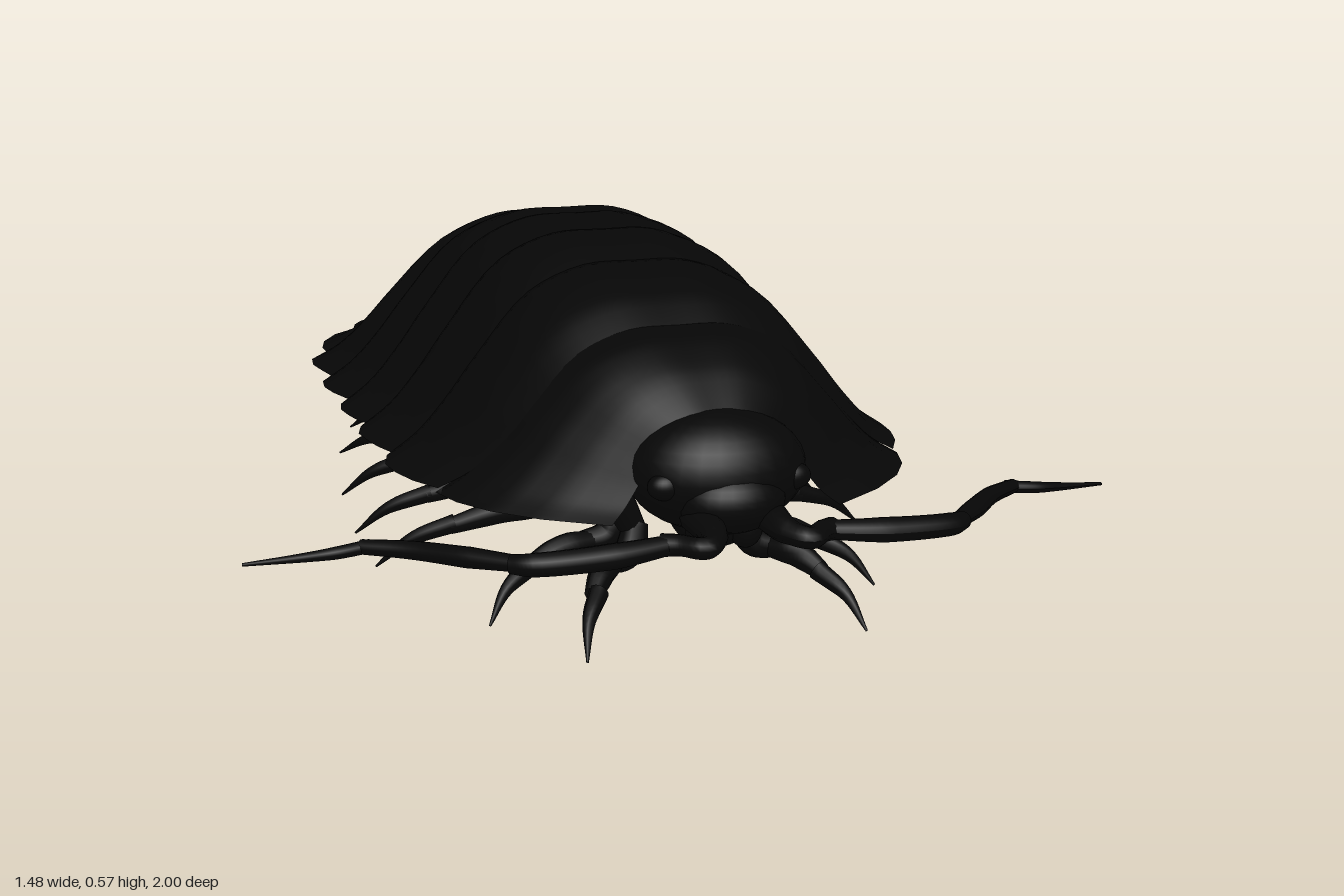
import * as THREE from 'three';

const shell = new THREE.MeshStandardMaterial({ color: 0x060606, side: THREE.DoubleSide });
shell.name = 'black shell';

// Grid of points -> smooth surface
function gridGeometry(rows, cols, fn) {
  const pos = [], idx = [];
  for (let i = 0; i <= rows; i++)
    for (let j = 0; j <= cols; j++) pos.push(...fn(i / rows, j / cols));
  for (let i = 0; i < rows; i++)
    for (let j = 0; j < cols; j++) {
      const a = i * (cols + 1) + j, b = a + cols + 1;
      idx.push(a, a + 1, b, b, a + 1, b + 1);
    }
  const g = new THREE.BufferGeometry();
  g.setAttribute('position', new THREE.Float32BufferAttribute(pos, 3));
  g.setIndex(idx);
  g.computeVertexNormals();
  return g;
}

function add(parent, name, geometry) {
  const m = new THREE.Mesh(geometry, shell);
  m.name = name;
  parent.add(m);
  return m;
}

const lerp = THREE.MathUtils.lerp;

// Interpolate a list of numbers at t in 0..1
function sample(list, t) {
  const f = t * (list.length - 1), i = Math.min(Math.floor(f), list.length - 2);
  return lerp(list[i], list[i + 1], f - i);
}

// Bell-shaped half cross-section: (fraction of width, fraction of height)
const bell = new THREE.CatmullRomCurve3(
  [[-0.2, 0.99], [0, 1], [0.21, 0.99], [0.43, 0.86], [0.64, 0.53], [0.77, 0.29], [0.88, 0.12], [1, 0]]
    .map(([x, y]) => new THREE.Vector3(x, y, 0)));
function arch(u) {
  const p = bell.getPoint(lerp(1 / 7, 1, Math.abs(u)));
  return [Math.sign(u) * Math.abs(p.x), p.y];
}

// Arched back plate with an outer and an inner skin; lead and trail sweep
// the front and rear edges of the side lobes backwards
function plate({ z, w, top, base = 0.224, lead = 0, trail = 0, bulge = 0.015, thick = 0.016 }) {
  return gridGeometry(32, 48, (s, t) => {
    const u = t * 2 - 1, outer = s <= 0.5;
    const v = outer ? s * 2 : 2 - s * 2;
    const [px, py] = arch(u);
    const inset = outer ? 0 : thick * (1 - u ** 8) * Math.min(1, v * 4);
    const swell = bulge * Math.sin(Math.PI * Math.min(1, v * 0.9 + 0.1));
    const h = sample(top, v) - base + swell;
    return [
      px * (sample(w, v) - inset),
      base + py * h - inset * (0.4 + 0.6 * py),
      lerp(z[0], z[1], v) - trail * Math.abs(px) ** 3 * v - lead * Math.abs(px) ** 4 * (1 - v),
    ];
  });
}

// Tapered sweep with an elliptical section; depth is thickness relative to width
function sweep(points, radii, depth = 1, ref = new THREE.Vector3(0, 1, 0), rows = 24) {
  const curve = new THREE.CatmullRomCurve3(points.map(p => new THREE.Vector3(...p)));
  return gridGeometry(rows, 12, (s, t) => {
    const c = curve.getPoint(s), d = curve.getTangent(s);
    const side = new THREE.Vector3().crossVectors(d, ref).normalize();
    const up = new THREE.Vector3().crossVectors(side, d).normalize();
    const r = sample(radii, s), a = t * Math.PI * 2;
    c.addScaledVector(side, Math.cos(a) * r).addScaledVector(up, Math.sin(a) * r * depth);
    return c.toArray();
  });
}

function ellipsoid(parent, name, center, size) {
  const m = add(parent, name, new THREE.SphereGeometry(1, 28, 18));
  m.position.set(...center);
  m.scale.set(...size);
  return m;
}

function group(parent, name) {
  const g = new THREE.Group();
  g.name = name;
  parent.add(g);
  return g;
}

export function createModel() {
  const model = new THREE.Group();
  model.name = 'woodlouse';
  const flip = (p, s) => [p[0] * s, p[1], p[2]];

  // Seven large back plates, front to rear
  const back = group(model, 'backPlates');
  [
    { z: [0.82, 0.605], w: [0.19, 0.285, 0.35, 0.39, 0.41], top: [0.36, 0.41, 0.448, 0.47], base: 0.215, lead: -0.035, bulge: 0.012 },
    { z: [0.64, 0.385], w: [0.405, 0.435, 0.452, 0.459, 0.445], top: [0.447, 0.49, 0.518, 0.537], base: 0.22, lead: 0.04 },
    { z: [0.43, 0.20], w: [0.435, 0.452, 0.462, 0.468, 0.455], top: [0.512, 0.543, 0.563], lead: 0.04 },
    { z: [0.25, 0.03], w: [0.43, 0.452, 0.462, 0.468, 0.46], top: [0.543, 0.561, 0.567], lead: 0.045, bulge: 0.01 },
    { z: [0.075, -0.135], w: [0.425, 0.445, 0.46, 0.468, 0.463], top: [0.551, 0.557, 0.546], lead: 0.04, trail: 0.02, bulge: 0.012 },
    { z: [-0.09, -0.30], w: [0.425, 0.44, 0.45, 0.458, 0.452], top: [0.522, 0.525, 0.501], lead: 0.06, trail: 0.05 },
    { z: [-0.25, -0.45], w: [0.395, 0.41, 0.414, 0.40, 0.365], top: [0.49, 0.474, 0.415], lead: 0.07, trail: 0.12, bulge: 0.012 },
  ].forEach((o, i) => add(back, 'backPlate' + (i + 1), plate(o)));

  // Short tail plates, most with a pointed blade on both sides
  const tail = group(model, 'tailPlates');
  [
    { z: [-0.40, -0.51], w: [0.31, 0.285], top: [0.41, 0.366], blade: [[0.24, 0.26, -0.46], [0.295, 0.235, -0.53], [0.333, 0.205, -0.608]] },
    { z: [-0.46, -0.57], w: [0.275, 0.25], top: [0.371, 0.336], blade: [[0.20, 0.255, -0.51], [0.265, 0.235, -0.60], [0.297, 0.207, -0.69]] },
    { z: [-0.53, -0.64], w: [0.235, 0.21], top: [0.336, 0.308], blade: [[0.165, 0.25, -0.58], [0.218, 0.228, -0.68], [0.25, 0.20, -0.775]] },
    { z: [-0.60, -0.70], w: [0.19, 0.16], top: [0.308, 0.281], blade: [[0.125, 0.24, -0.64], [0.165, 0.222, -0.73], [0.183, 0.20, -0.832]] },
    { z: [-0.66, -0.76], w: [0.14, 0.105], top: [0.281, 0.258] },
  ].forEach(({ blade, ...o }, i) => {
    add(tail, 'tailPlate' + (i + 1), plate({ ...o, base: 0.218, trail: 0.05, bulge: 0.006 }));
    if (blade)
      for (const s of [1, -1])
        add(tail, 'sideBlade', sweep(blade.map(p => flip(p, s)), [0.03, 0.038, 0.038, 0.03, 0.007], 0.45));
  });
  add(tail, 'tailTip', sweep([[0, 0.24, -0.68], [0, 0.232, -0.78], [0, 0.205, -0.865]], [0.11, 0.09, 0.055, 0.02], 0.3));

  // Paired leaf-shaped tail appendages, curving up at the ends
  for (const s of [1, -1])
    add(tail, 'tailAppendage', sweep(
      [[0.065, 0.21, -0.66], [0.088, 0.19, -0.78], [0.092, 0.186, -0.88], [0.116, 0.222, -0.995]].map(p => flip(p, s)),
      [0.025, 0.035, 0.04, 0.039, 0.036, 0.028, 0.01], 0.85));

  // Underside: soft belly, cross ridges and overlapping gill flaps
  const under = group(model, 'underside');
  add(under, 'belly', sweep(
    [[0, 0.28, 0.82], [0, 0.31, 0.5], [0, 0.32, 0], [0, 0.29, -0.4], [0, 0.245, -0.74]],
    [0.08, 0.24, 0.29, 0.3, 0.3, 0.27, 0.2, 0.06], 0.17));
  for (const z of [0.66, 0.5, 0.32, 0.14, -0.04, -0.21, -0.36])
    ellipsoid(under, 'bellyRidge', [0, 0.272, z], [0.24, 0.025, 0.06]);
  for (let i = 0; i < 5; i++)
    for (const s of [1, -1]) {
      const m = ellipsoid(under, 'gillFlap', [s * (0.085 - i * 0.008), 0.23 - i * 0.004, -0.46 - i * 0.06],
        [0.085 - i * 0.007, 0.012, 0.055]);
      m.rotation.x = -0.25;
    }

  // Head with eyes and mouthparts
  const head = group(model, 'head');
  ellipsoid(head, 'skull', [0, 0.277, 0.8], [0.147, 0.098, 0.112]);
  ellipsoid(head, 'snout', [0, 0.245, 0.86], [0.09, 0.055, 0.07]);
  ellipsoid(head, 'jaw', [0, 0.19, 0.78], [0.065, 0.045, 0.075]);
  for (const s of [1, -1]) {
    ellipsoid(head, 'eye', [s * 0.105, 0.272, 0.86], [0.03, 0.022, 0.022]);
    ellipsoid(head, 'mandible', [s * 0.035, 0.19, 0.84], [0.028, 0.035, 0.03]);
  }

  // Elbowed antennae
  const feelers = group(model, 'antennae');
  const feeler = [
    [[0.055, 0.222, 0.87], [0.06, 0.214, 0.95], [0.085, 0.21, 0.982], [0.115, 0.209, 0.955], [0.14, 0.207, 0.94]],
    [[0.115, 0.209, 0.945], [0.22, 0.202, 0.955], [0.34, 0.197, 0.945], [0.37, 0.195, 0.925]],
    [[0.345, 0.197, 0.945], [0.42, 0.192, 0.87], [0.49, 0.186, 0.795], [0.56, 0.182, 0.745]],
    [[0.545, 0.182, 0.745], [0.60, 0.178, 0.752], [0.65, 0.173, 0.745], [0.74, 0.165, 0.728]],
  ];
  const feelerRadii = [[0.03, 0.02, 0.018, 0.02], [0.016, 0.022, 0.02, 0.016], [0.013, 0.018, 0.016, 0.013], [0.012, 0.011, 0.008, 0.003]];
  for (const s of [1, -1])
    feeler.forEach((pts, i) => add(feelers, 'antennaSegment', sweep(pts.map(p => flip(p, s)), feelerRadii[i], 0.9)));

  // Seven leg pairs: z of root, knee, shin, ankle and tip, then reach of the tip
  const legs = group(model, 'legs');
  [
    [0.68, 0.68, 0.70, 0.78, 0.875, 0.235],
    [0.57, 0.58, 0.59, 0.62, 0.68, 0.34],
    [0.385, 0.38, 0.38, 0.37, 0.34, 0.46],
    [0.19, 0.19, 0.19, 0.18, 0.145, 0.46],
    [-0.01, 0.015, 0.01, -0.05, -0.1, 0.44],
    [-0.18, -0.13, -0.14, -0.24, -0.4, 0.39],
    [-0.36, -0.28, -0.29, -0.43, -0.6, 0.33],
  ].forEach(([z0, z1, z2, z3, z4, reach], i) => {
    const k = lerp(0.14, reach, 0.6), ref = new THREE.Vector3(0, 0, 1);
    for (const s of [1, -1]) {
      const leg = group(legs, (s > 0 ? 'leftLeg' : 'rightLeg') + (i + 1));
      const part = (name, pts, radii) => add(leg, name, sweep(pts.map(p => flip(p, s)), radii, 0.9, ref, 14));
      part('thigh', [[0.2, 0.285, z0], [0.135, 0.215, lerp(z0, z1, 0.6)], [0.095, 0.145, z1]], [0.022, 0.028, 0.027, 0.021]);
      part('knee', [[0.092, 0.16, z1], [0.11, 0.11, lerp(z1, z2, 0.6)], [0.16, 0.1, z2]], [0.021, 0.026, 0.024, 0.019]);
      part('shin', [[0.135, 0.102, z2], [lerp(0.14, k, 0.5), 0.098, lerp(z2, z3, 0.5)], [k, 0.077, z3]], [0.018, 0.023, 0.021, 0.015]);
      part('foot', [[k - 0.01, 0.082, z3], [lerp(k, reach, 0.55), 0.053, lerp(z3, z4, 0.5)], [reach, 0.005, z4]], [0.017, 0.014, 0.008, 0.002]);
    }
  });
  return model;
}
